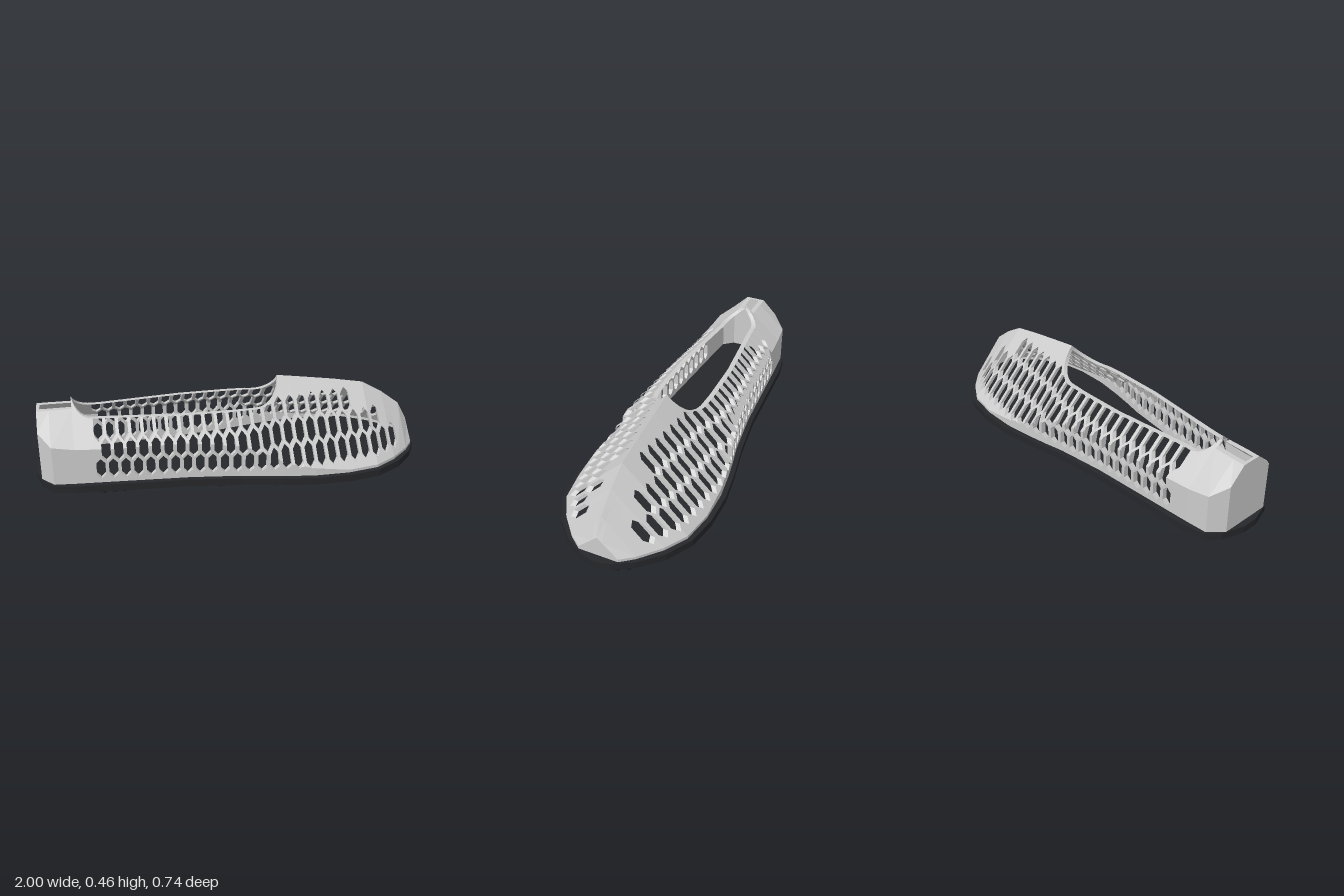
import * as THREE from 'three';
import { mergeGeometries } from 'three/addons/utils/BufferGeometryUtils.js';

// Upper cross-sections: x, half width, height of the vertical wall, height of the ridge
const SECTIONS = [
  [-0.97, 0.13, 0.3, 0.43], [-0.91, 0.2, 0.25, 0.425], [-0.8, 0.21, 0.235, 0.425],
  [-0.65, 0.22, 0.23, 0.43], [-0.25, 0.247, 0.238, 0.475], [0, 0.28, 0.215, 0.475],
  [0.1, 0.302, 0.19, 0.472], [0.22, 0.325, 0.12, 0.463], [0.37, 0.346, 0.09, 0.442],
  [0.54, 0.347, 0.065, 0.417], [0.7, 0.32, 0.065, 0.388], [0.81, 0.255, 0.065, 0.325],
  [0.91, 0.165, 0.065, 0.25], [0.96, 0.1, 0.065, 0.16],
];
// Half outline of the sole: x, half width
const OUTLINE = [
  [-1, 0.04], [-0.965, 0.15], [-0.91, 0.215], [-0.8, 0.238], [-0.25, 0.272], [0, 0.307],
  [0.2, 0.347], [0.37, 0.372], [0.55, 0.372], [0.7, 0.345], [0.83, 0.272], [0.93, 0.17],
  [0.985, 0.07], [1, 0.01],
];
const BASE = 0.05, THICK = 0.025;
const HEX = { w: 0.022, h: 0.053, flat: 0.03, pitch: 0.0604 };

function sample(table, x, k) {
  let i = 0;
  while (i < table.length - 2 && x > table[i + 1][0]) i++;
  const a = table[i], b = table[i + 1];
  return THREE.MathUtils.lerp(a[k], b[k], THREE.MathUtils.clamp((x - a[0]) / (b[0] - a[0]), 0, 1));
}
const wallAt = (x) => sample(SECTIONS, x, 2);
const ridgeAt = (x) => sample(SECTIONS, x, 3);

// Half width of the upper at a given height
function widthAt(x, y) {
  const w = sample(SECTIONS, x, 1), wall = wallAt(x), ridge = ridgeAt(x);
  return y <= wall ? w : Math.max(0, w * (ridge - y) / (ridge - wall));
}

// Upper limit of the shell: heel tab, scooped collar, then the ridge
function topAt(x) {
  let cut = 0.34;
  if (x < -0.8) cut = 0.38;
  else if (x < -0.7) cut = 0.44 - Math.sqrt(Math.max(0, 0.01 - (x + 0.7) ** 2));
  else if (x > 0.24) cut = 9;
  else if (x > 0.12) cut = 0.46 - Math.sqrt(Math.max(0, 0.0144 - (x - 0.12) ** 2));
  return Math.min(cut, ridgeAt(x));
}

function makeHoles() {
  const holes = [];
  for (const [y, start, end] of [[0.125, -0.68, 0.845], [0.217, -0.65, 0.75], [0.308, -0.68, 0.6]])
    for (let x = start; x < end; x += HEX.pitch)
      holes.push({ x, y: y + 0.018 * THREE.MathUtils.clamp(x / 0.25, 0, 1) });
  return holes;
}

// Perforated shell, built as thin columns between the hole edges, mirrored in z
function upperGeometry() {
  const holes = makeHoles(), pos = [];
  const quad = (...p) => {
    for (const s of [1, -1]) {
      const order = s > 0 ? [0, 1, 2, 0, 2, 3] : [0, 2, 1, 0, 3, 2];
      for (const i of order) pos.push(p[i][0], p[i][1], s * p[i][2]);
    }
  };
  const outer = (x, y) => [x, y, widthAt(x, y)];
  const inner = (x, y) => [x, y, Math.max(0, widthAt(x, y) - THICK)];
  const reveal = (xa, ya, xb, yb) => quad(outer(xa, ya), inner(xa, ya), inner(xb, yb), outer(xb, yb));

  const xs = SECTIONS.map((s) => s[0]);
  for (const h of holes) xs.push(h.x - HEX.w, h.x, h.x + HEX.w);
  for (let i = 0; i <= 8; i++) {
    const a = (i / 8) * Math.PI / 2;
    xs.push(-0.7 - 0.1 * Math.sin(a), 0.12 + 0.12 * Math.sin(a));
  }
  xs.sort((a, b) => a - b);

  for (let i = 0; i < xs.length - 1; i++) {
    if (xs[i + 1] - xs[i] < 1e-5) continue;
    const ends = [xs[i] + 1e-7, xs[i + 1] - 1e-7], [xa, xb] = ends;
    const tops = ends.map(topAt);
    const half = (h, x) => HEX.h - (HEX.h - HEX.flat) * Math.min(1, Math.abs(x - h.x) / HEX.w);
    const inside = holes
      .filter((h) => xa > h.x - HEX.w - 1e-6 && xb < h.x + HEX.w + 1e-6)
      .sort((a, b) => a.y - b.y);
    let from = [BASE, BASE];
    const solid = (lo, hi) => {
      // split at the wall crease and where the inner faces meet
      const levels = [
        () => 0, wallAt,
        (x) => ridgeAt(x) - THICK * (ridgeAt(x) - wallAt(x)) / sample(SECTIONS, x, 1), () => 9,
      ].map((f) => ends.map((x, e) => THREE.MathUtils.clamp(f(x), lo[e], Math.max(lo[e], hi[e]))));
      for (let k = 0; k < 3; k++) {
        const [a, b] = levels[k], [c, d] = levels[k + 1];
        if (c - a + d - b < 1e-6) continue;
        quad(outer(xa, a), outer(xb, b), outer(xb, d), outer(xa, c));
        quad(inner(xb, b), inner(xa, a), inner(xa, c), inner(xb, d));
      }
    };
    for (const h of inside) {
      const lo = ends.map((x, e) => Math.min(tops[e], h.y - half(h, x)));
      const hi = ends.map((x, e) => Math.min(tops[e], h.y + half(h, x)));
      solid(from, lo);
      reveal(xa, lo[0], xb, lo[1]);
      reveal(xa, hi[0], xb, hi[1]);
      if (Math.abs(xa - h.x + HEX.w) < 1e-5) reveal(xa, lo[0], xa, hi[0]);
      if (Math.abs(xb - h.x - HEX.w) < 1e-5) reveal(xb, lo[1], xb, hi[1]);
      from = hi;
    }
    solid(from, tops);
    // collar rim
    if (from[0] < tops[0] - 1e-6 || from[1] < tops[1] - 1e-6) reveal(xa, tops[0], xb, tops[1]);
  }
  const g = new THREE.BufferGeometry();
  g.setAttribute('position', new THREE.Float32BufferAttribute(pos, 3));
  g.computeVertexNormals();
  return g;
}

// Flat plate closing one end of the upper
function endPlate(x, dir) {
  const w = sample(SECTIONS, x, 1), wall = wallAt(x), top = topAt(x), t = widthAt(x, top);
  const pts = [[-w, BASE], [w, BASE], [w, wall], [t, top], [-t, top], [-w, wall]];
  const g = new THREE.ExtrudeGeometry(
    new THREE.Shape(pts.map((p) => new THREE.Vector2(...p))), { depth: 0.015, bevelEnabled: false });
  g.rotateY(dir * Math.PI / 2);
  return g.translate(x - dir * 0.015, 0, 0);
}

function soleSlab(inset, y0, y1) {
  const side = OUTLINE.map(([x, z]) => [x * (1 - inset), Math.max(0.005, z - inset)]);
  const pts = [...side, ...side.map(([x, z]) => [x, -z]).reverse()];
  const g = new THREE.ExtrudeGeometry(
    new THREE.Shape(pts.map((p) => new THREE.Vector2(...p))), { depth: y1 - y0, bevelEnabled: false });
  return g.rotateX(-Math.PI / 2).translate(0, y0, 0);
}

// Rows of hexagonal studs kept inside the outline
function treadGeometry() {
  const studs = [], pitch = 0.05, r = 0.025;
  for (let row = -8; row <= 8; row++)
    for (let col = -20; col <= 20; col++) {
      const x = (col + (row & 1 ? 0.5 : 0)) * pitch, z = row * pitch * 0.87;
      if (Math.abs(x) > 0.97 || Math.abs(z) > sample(OUTLINE, x, 1) - r - 0.003) continue;
      studs.push(new THREE.CylinderGeometry(r, r * 0.85, 0.014, 6).translate(x, 0.007, z));
    }
  return mergeGeometries(studs);
}

export function createModel() {
  const group = new THREE.Group();
  const grey = new THREE.MeshStandardMaterial({ color: 0xcccccc, flatShading: true, side: THREE.DoubleSide });
  const dark = new THREE.MeshStandardMaterial({ color: 0x26272a, flatShading: true });
  const add = (name, geometry, material) => {
    const mesh = new THREE.Mesh(geometry, material);
    mesh.name = name;
    group.add(mesh);
  };
  add('perforatedUpper', upperGeometry(), grey);
  add('heelPlate', endPlate(-0.97, -1), grey);
  add('toePlate', endPlate(0.96, 1), grey);
  add('sole', soleSlab(0, 0.013, BASE), dark);
  add('treadStuds', treadGeometry(), dark);
  return group;
}
